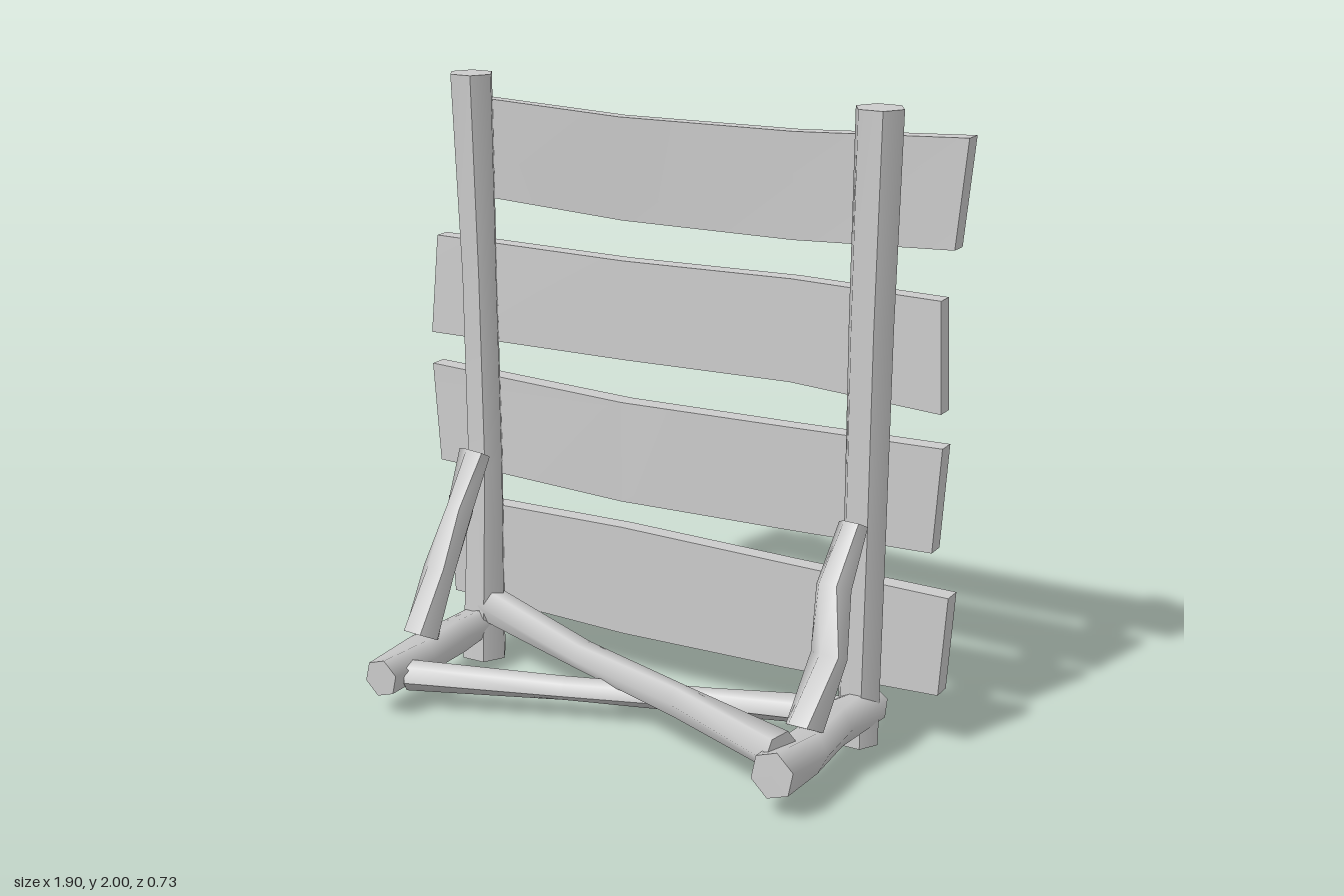
import * as THREE from 'three';

const material = new THREE.MeshStandardMaterial({ color: 0xcccccc });

// Rough six-sided log through stations [x, y, z, radius, twist]
function log(name, stations, flat = 1) {
  const n = stations.length - 1;
  const geo = new THREE.CylinderGeometry(1, 1, 1, 6, n);
  const first = new THREE.Vector3(...stations[0].slice(0, 3));
  const last = new THREE.Vector3(...stations[n].slice(0, 3));
  const turn = new THREE.Quaternion().setFromUnitVectors(
    new THREE.Vector3(0, 1, 0), last.sub(first).normalize());
  const pos = geo.attributes.position;
  const v = new THREE.Vector3();
  const up = new THREE.Vector3(0, 1, 0);
  for (let i = 0; i < pos.count; i++) {
    v.fromBufferAttribute(pos, i);
    const [x, y, z, r, twist = 0] = stations[Math.round((v.y + 0.5) * n)];
    v.y = 0;
    v.applyAxisAngle(up, Math.PI / 6 + twist).multiplyScalar(r);
    v.z *= flat;
    v.applyQuaternion(turn);
    pos.setXYZ(i, v.x + x, v.y + y, v.z + z);
  }
  geo.computeVertexNormals();
  const mesh = new THREE.Mesh(geo, material);
  mesh.name = name;
  return mesh;
}

// Warped plank through stations [xTop, yTop, xBottom, yBottom, zBack, zFront, lean]
function plank(name, stations) {
  const n = stations.length - 1;
  const geo = new THREE.BoxGeometry(1, 1, 1, n, 1, 1);
  const pos = geo.attributes.position;
  for (let i = 0; i < pos.count; i++) {
    const [xt, yt, xb, yb, zb, zf, lean = 0] = stations[Math.round((pos.getX(i) + 0.5) * n)];
    const top = pos.getY(i) > 0;
    const z = (pos.getZ(i) > 0 ? zf : zb) + (top ? lean : -lean);
    pos.setXYZ(i, top ? xt : xb, top ? yt : yb, z);
  }
  geo.computeVertexNormals();
  const mesh = new THREE.Mesh(geo, material);
  mesh.name = name;
  return mesh;
}

export function createModel() {
  const model = new THREE.Group();
  model.name = 'plankBarrier';

  // Upright posts
  model.add(
    log('rightPost', [
      [-0.72, 0, -0.23, 0.083], [-0.705, 0.7, -0.24, 0.065],
      [-0.71, 1.35, -0.235, 0.064], [-0.72, 2, -0.225, 0.075],
    ], 0.95),
    log('leftPost', [
      [0.69, 0.01, -0.235, 0.07], [0.69, 0.7, -0.24, 0.07],
      [0.69, 1.35, -0.235, 0.073], [0.695, 2, -0.235, 0.077],
    ], 1));

  // Feet running front to back
  model.add(
    log('rightFoot', [
      [-0.72, 0.13, -0.29, 0.05], [-0.715, 0.13, -0.05, 0.062, 0.2],
      [-0.715, 0.135, 0.15, 0.065], [-0.717, 0.13, 0.36, 0.062, 0.3],
    ], 1.05),
    log('leftFoot', [
      [0.71, 0.12, -0.29, 0.06, 0.4], [0.69, 0.135, -0.05, 0.068],
      [0.70, 0.135, 0.15, 0.072], [0.69, 0.14, 0.36, 0.073, 0.3],
    ], 1.05));

  // Slanted braces from feet to posts
  model.add(
    log('rightBrace', [
      [-0.715, 0.2, 0.14, 0.066], [-0.71, 0.4, 0.035, 0.054, 0.3],
      [-0.69, 0.58, -0.06, 0.05], [-0.69, 0.755, -0.155, 0.052, 0.5],
    ]),
    log('leftBrace', [
      [0.685, 0.2, 0.14, 0.062], [0.71, 0.4, 0.035, 0.056, 0.4],
      [0.675, 0.58, -0.06, 0.058], [0.69, 0.755, -0.155, 0.045, 0.2],
    ]));

  // Crossed beams between the feet
  model.add(
    log('upperCrossBeam', [
      [-0.68, 0.19, -0.225, 0.062], [-0.2, 0.17, -0.05, 0.05, 0.2],
      [0.25, 0.18, 0.12, 0.052], [0.68, 0.18, 0.28, 0.065, 0.3],
    ]),
    log('lowerCrossBeam', [
      [-0.68, 0.115, 0.265, 0.05], [-0.2, 0.105, 0.075, 0.04, 0.2],
      [0.25, 0.1, -0.085, 0.042], [0.68, 0.105, -0.23, 0.052, 0.3],
    ]));

  // Planks on the back of the posts, bottom to top
  model.add(
    plank('plank1', [
      [-0.90, 0.525, -0.88, 0.18, -0.355, -0.295],
      [-0.2, 0.54, -0.2, 0.165, -0.345, -0.285],
      [0.4, 0.53, 0.4, 0.175, -0.345, -0.285],
      [0.95, 0.52, 0.93, 0.195, -0.355, -0.29],
    ]),
    plank('plank2', [
      [-0.955, 0.99, -0.93, 0.65, -0.36, -0.30],
      [-0.2, 0.968, -0.2, 0.63, -0.35, -0.285],
      [0.4, 0.98, 0.4, 0.643, -0.345, -0.285],
      [0.91, 0.99, 0.89, 0.655, -0.35, -0.29],
    ]),
    plank('plank3', [
      [-0.93, 1.435, -0.955, 1.10, -0.36, -0.305, -0.005],
      [-0.2, 1.435, -0.2, 1.11, -0.348, -0.29],
      [0.4, 1.45, 0.4, 1.125, -0.342, -0.285],
      [0.885, 1.44, 0.90, 1.095, -0.35, -0.29],
    ]),
    plank('plank4', [
      [-0.845, 1.915, -0.83, 1.59, -0.34, -0.3, 0.006],
      [-0.2, 1.895, -0.2, 1.565, -0.325, -0.28, 0.01],
      [0.4, 1.9, 0.4, 1.57, -0.33, -0.28, 0.005],
      [0.95, 1.925, 0.92, 1.595, -0.35, -0.29],
    ]));

  return model;
}
